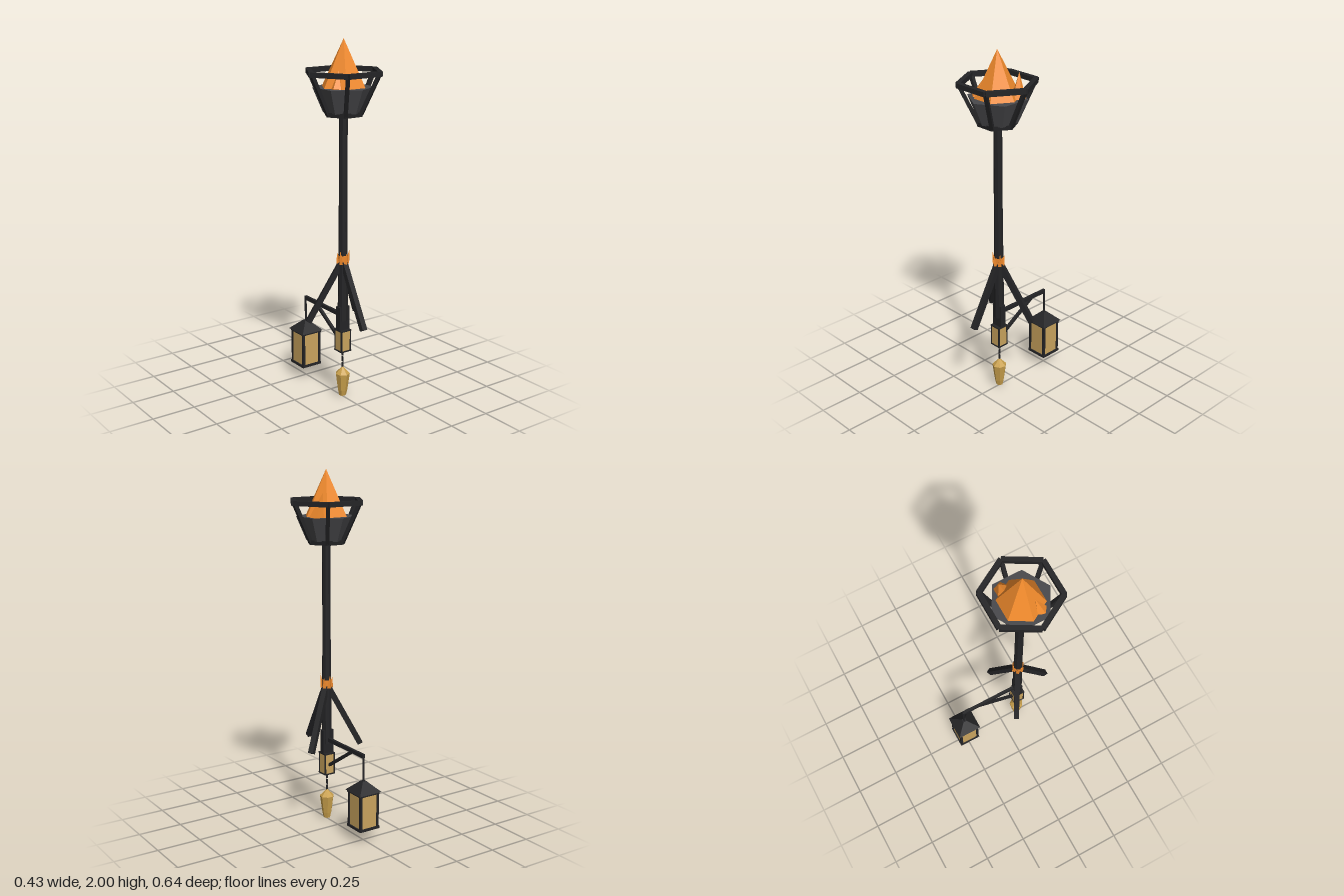
import * as THREE from 'three';

const mat = (color) => new THREE.MeshStandardMaterial({ color, flatShading: true });
const AXIS = 0.113; // z of the post

export function createModel() {
  const root = new THREE.Group();
  const iron = mat(0x242426), bowlGrey = mat(0x48484b), orange = mat(0xf08a2c);
  const glass = mat(0xcaa45e), amber = mat(0xc9a04c);

  const add = (name, geo, m, x, y, z, parent = root) => {
    const mesh = new THREE.Mesh(geo, m);
    mesh.name = name;
    mesh.position.set(x, y, z);
    parent.add(mesh);
    return mesh;
  };
  const box = (name, w, h, d, m, x, y, z, parent) =>
    add(name, new THREE.BoxGeometry(w, h, d), m, x, y, z, parent);
  const prism = (name, rTop, rBot, y0, y1, m, sides = 6, parent = root) =>
    add(name, new THREE.CylinderGeometry(rTop, rBot, y1 - y0, sides), m, 0, (y0 + y1) / 2, 0, parent);

  // Square bar between two points
  const beam = (name, a, b, t, parent) => {
    const mesh = box(name, t, t, a.distanceTo(b), iron, 0, 0, 0, parent);
    mesh.position.copy(a).lerp(b, 0.5);
    mesh.lookAt(b);
    return mesh;
  };
  const polar = (r, angle, y) => new THREE.Vector3(Math.sin(angle) * r, y, Math.cos(angle) * r);

  // Pointed crystal with its base at the given point, leaning toward dir
  const shard = (name, base, dir, r, h, sides, parent) => {
    const geo = new THREE.ConeGeometry(r, h, sides).translate(0, h / 2, 0);
    const mesh = add(name, geo, orange, base.x, base.y, base.z, parent);
    mesh.quaternion.setFromUnitVectors(new THREE.Vector3(0, 1, 0), dir.clone().normalize());
    return mesh;
  };

  const post = new THREE.Group();
  post.name = 'torchPost';

  // Post, thickened toward the bottom
  prism('pole', 0.023, 0.025, 0.46, 1.61, iron, 8, post);
  prism('lowerSleeve', 0.025, 0.029, 0.46, 0.97, iron, 8, post);
  box('footBracket', 0.066, 0.14, 0.034, iron, 0, 0.47, 0, post);

  // Three splayed legs
  for (let i = 0; i < 3; i++) {
    const a = (i * Math.PI * 2) / 3;
    beam('leg', polar(0.005, a, 0.8), polar(0.19, a, 0.455), 0.03, post);
  }

  // Crystal collar where the legs meet
  prism('collar', 0.03, 0.03, 0.8, 0.835, orange, 6, post);
  for (let i = 0; i < 6; i++) {
    const a = (i * Math.PI) / 3;
    shard('collarShard', polar(0.024, a, 0.79), polar(0.15, a, 1), 0.013, i % 2 ? 0.08 : 0.065, 4, post);
  }

  // Fire bowl and its hexagonal cage
  const foot = prism('bowlFoot', 0.112, 0.108, 1.6, 1.625, iron, 6, post);
  foot.rotation.y = Math.PI / 6;
  prism('fireBowl', 0.163, 0.108, 1.62, 1.75, bowlGrey, 6, post);
  for (let i = 0; i < 6; i++) {
    const a = ((i + 0.5) * Math.PI) / 3, b = a + Math.PI / 3;
    beam('cageStrut', polar(0.098, a, 1.61), polar(0.2, a, 1.825), 0.02, post);
    beam('cageRing', polar(0.204, a, 1.827), polar(0.204, b, 1.827), 0.026, post);
  }

  // Flame crystals
  const flame = prism('flame', 0, 0.126, 1.745, 2, orange, 6, post);
  flame.rotation.y = Math.PI / 6;
  shard('sideFlame', new THREE.Vector3(0.095, 1.745, -0.055), new THREE.Vector3(-0.15, 1, -0.2), 0.042, 0.14, 5, post);
  shard('sideFlame', new THREE.Vector3(-0.085, 1.745, 0.06), new THREE.Vector3(0.25, 1, -0.2), 0.034, 0.1, 5, post);

  // Lantern: glass body, corner posts and end plates
  const lantern = (name, half, y0, y1, t, parent) => {
    const g = new THREE.Group();
    g.name = name;
    const mid = (y0 + y1) / 2, h = y1 - y0;
    box('glass', half * 2 - t * 0.6, h - t, half * 2 - t * 0.6, glass, 0, mid, 0, g);
    for (const sx of [-1, 1]) for (const sz of [-1, 1])
      box('cornerPost', t, h, t, iron, sx * (half - t / 2), mid, sz * (half - t / 2), g);
    for (const y of [y0 + t / 2, y1 - t / 2])
      box('endPlate', half * 2 + t * 0.4, t, half * 2 + t * 0.4, iron, 0, y, 0, g);
    parent.add(g);
    return g;
  };

  // Small lantern under the post, with chain and hanging crystal
  lantern('smallLantern', 0.033, 0.278, 0.405, 0.007, post);
  for (let i = 0; i < 3; i++) {
    const y = 0.26 - i * 0.034;
    box('chainLink', i % 2 ? 0.005 : 0.011, 0.028, i % 2 ? 0.011 : 0.005, iron, 0, y, 0, post);
  }
  const profile = [[0, 0], [0.02, 0.008], [0.027, 0.04], [0.041, 0.14], [0, 0.182]]
    .map(([r, y]) => new THREE.Vector2(r, y));
  add('hangingCrystal', new THREE.LatheGeometry(profile, 7), amber, 0, 0, 0, post);

  post.position.z = AXIS;
  root.add(post);

  // Rear arm with brace
  const hangZ = -0.25;
  box('arm', 0.016, 0.022, AXIS - hangZ, iron, 0, 0.485, (AXIS + hangZ) / 2);
  beam('armBrace', new THREE.Vector3(0, 0.335, 0.085), new THREE.Vector3(0, 0.482, -0.145), 0.016);

  // Large lantern hanging from the arm
  const big = lantern('largeLantern', 0.061, 0.076, 0.29, 0.014, root);
  const roof = prism('roof', 0.016, 0.071 * Math.SQRT2, 0.287, 0.345, iron, 4, big);
  roof.rotation.y = Math.PI / 4;
  prism('hangerRod', 0.006, 0.006, 0.34, 0.49, iron, 6, big);
  big.position.z = hangZ;

  return root;
}
